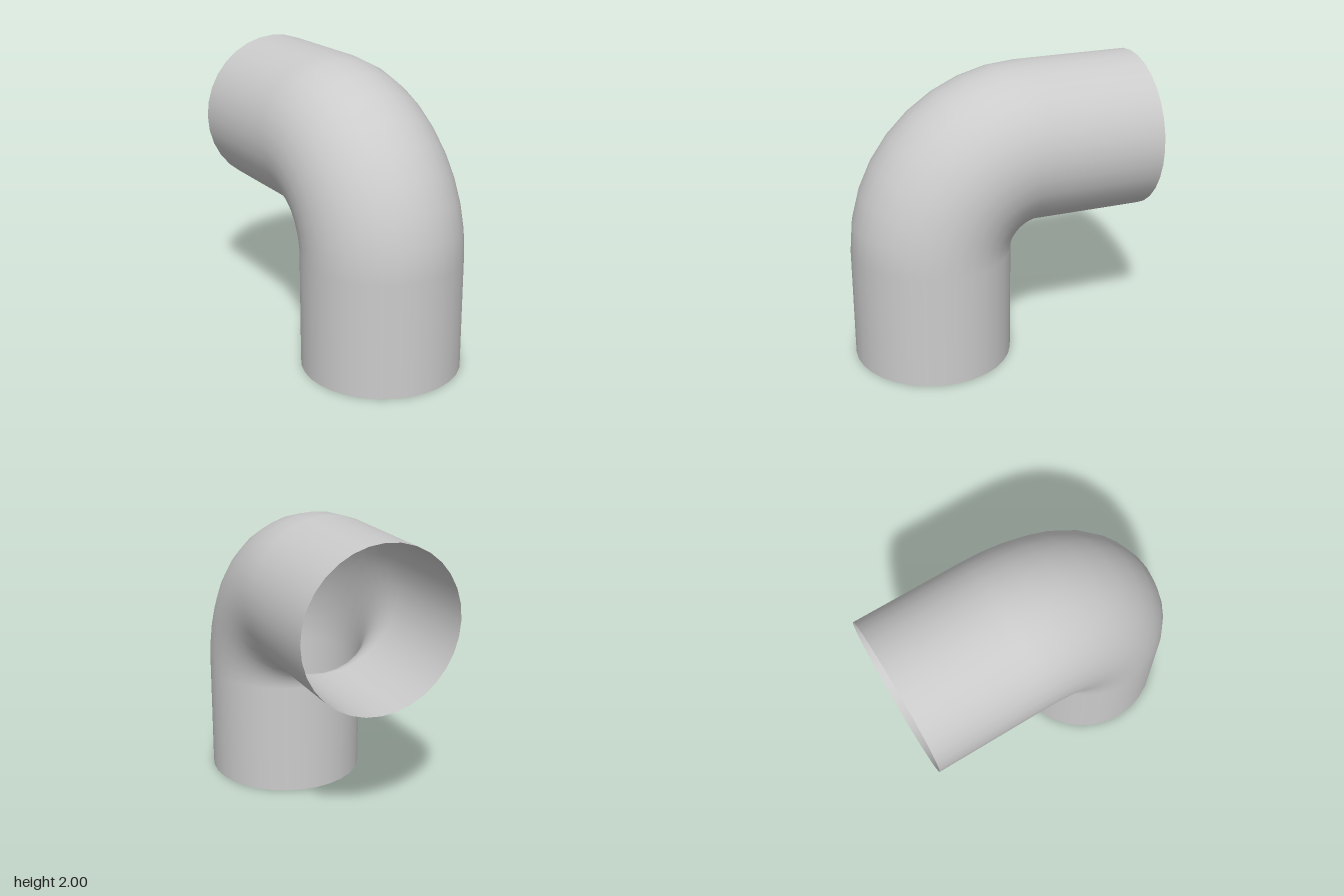
import * as THREE from 'three';

const RADIUS = 0.5425;                 // pipe radius
const BEND = { y: 0.78, z: -0.22 };    // centre of the quarter bend
const AXIS_RADIUS = 0.6775;            // bend centre to pipe axis
const STEPS = 9;                       // segments along the bend

export function createModel() {
  const group = new THREE.Group();
  group.name = 'elbowPipe';

  // Open cylinder: one row per station (straight end, bend rows, straight end)
  const rows = STEPS + 2;
  const geo = new THREE.CylinderGeometry(RADIUS, RADIUS, rows, 32, rows, true);
  const pos = geo.attributes.position;
  const nor = geo.attributes.normal;

  // Sweep each row round the elbow, keeping exact smooth normals
  for (let i = 0; i < pos.count; i++) {
    const row = Math.round(pos.getY(i) + rows / 2);
    const step = THREE.MathUtils.clamp(row - 1, 0, STEPS);
    const a = (step / STEPS) * Math.PI / 2;
    const s = Math.sin(a), c = Math.cos(a);
    const r = AXIS_RADIUS + pos.getZ(i);
    let y = BEND.y + r * s;
    let z = BEND.z + r * c;
    if (row === 0) y = 0;              // floor opening
    if (row === rows) z = -1;          // back opening
    pos.setXYZ(i, pos.getX(i), y, z);
    const n = nor.getZ(i);
    nor.setXYZ(i, nor.getX(i), n * s, n * c);
  }

  const pipe = new THREE.Mesh(
    geo,
    new THREE.MeshStandardMaterial({ color: 0xcccccc, side: THREE.DoubleSide })
  );
  pipe.name = 'pipeWall';
  group.add(pipe);
  return group;
}
